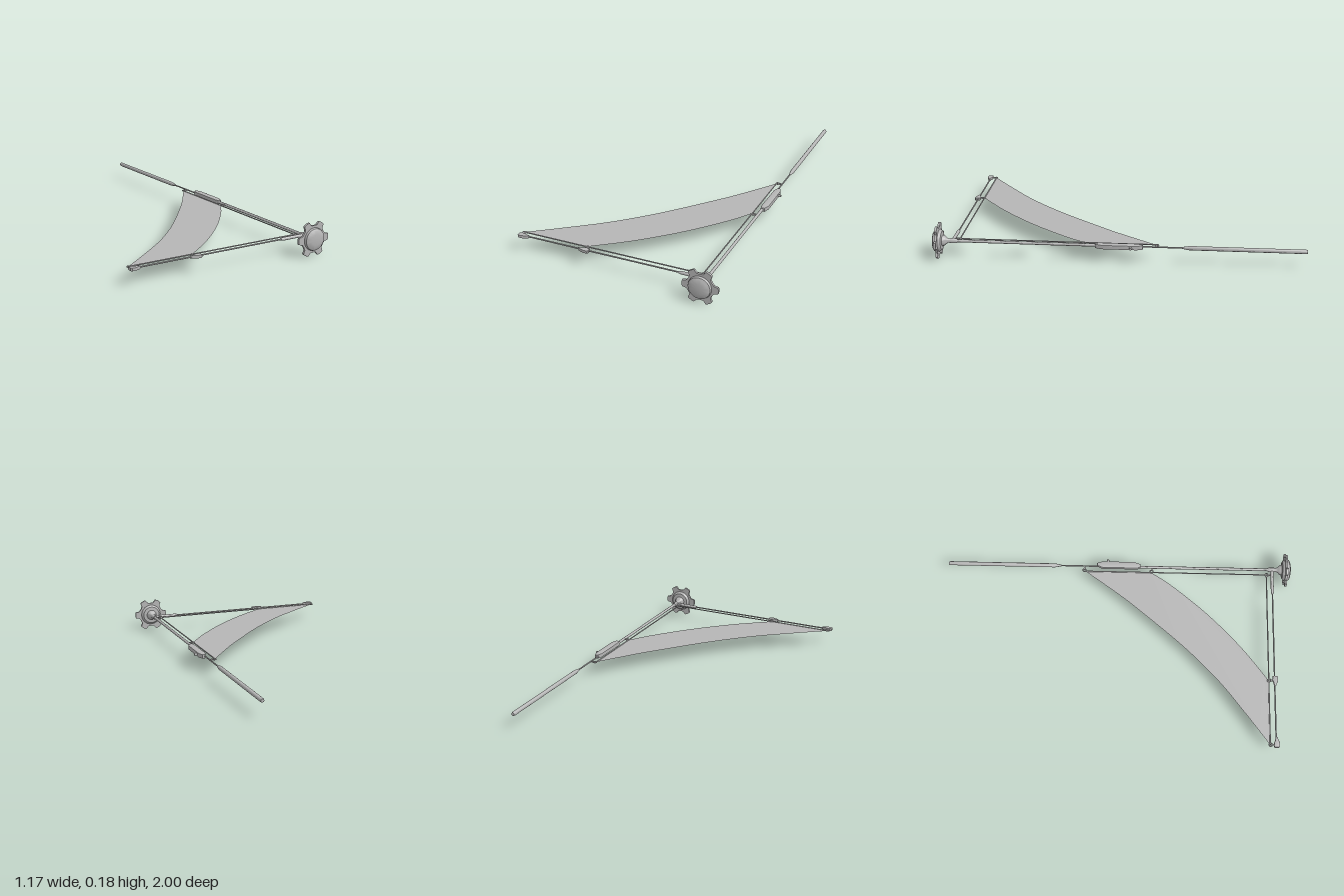
import * as THREE from 'three';
import { toCreasedNormals } from 'three/addons/utils/BufferGeometryUtils.js';

const AXIS_X = 0.487, AXIS_Y = 0.093;
const vecs = (pts) => pts.map(([a, b]) => new THREE.Vector2(a, b));

export function createModel() {
  const model = new THREE.Group();
  const metal = new THREE.MeshStandardMaterial({ color: 0xb6b6b6 });
  metal.name = 'grey metal';
  const cloth = new THREE.MeshStandardMaterial({ color: 0xb6b6b6, side: THREE.DoubleSide });
  cloth.name = 'grey cloth';

  const add = (name, geometry, x = 0, z = 0, material = metal) => {
    const mesh = new THREE.Mesh(geometry, material);
    mesh.name = name;
    mesh.position.set(x, AXIS_Y, z);
    model.add(mesh);
    return mesh;
  };
  // Turned part along z, from [radius, z] pairs of rising z
  const turned = (pts, sides = 16) =>
    toCreasedNormals(new THREE.LatheGeometry(vecs(pts), sides).rotateX(Math.PI / 2), 0.6);
  // Flat plate outlined in x, z and centred on the frame's plane
  const plate = (pts, height, bevel) => {
    const g = new THREE.ExtrudeGeometry(new THREE.Shape(vecs(pts)), {
      depth: height - 2 * bevel, bevelEnabled: bevel > 0,
      bevelSize: bevel, bevelThickness: bevel, bevelSegments: 2,
    });
    return toCreasedNormals(g.translate(0, 0, bevel - height / 2).rotateX(Math.PI / 2), 0.5);
  };

  // Shaft, thin neck and long grip
  add('shaft', turned([[0, 0], [0.008, 0], [0.008, 0.88], [0, 0.88]]), AXIS_X);
  add('shaftNeck', turned([[0, -0.38], [0.004, -0.38], [0.004, 0.01], [0, 0.01]]), AXIS_X);
  add('grip', turned([[0, -1], [0.009, -1], [0.0115, -0.992], [0.0115, -0.38],
    [0.005, -0.34], [0, -0.34]]), AXIS_X);

  // Crossbar and its socket
  add('crossbar', turned([[0, -0.57], [0.004, -0.57], [0.004, 0.35], [0, 0.35]], 10)
    .rotateY(Math.PI / 2), 0, 0.892);
  add('crossbarSocket', turned([[0, 0.335], [0.006, 0.335], [0.009, 0.348],
    [0.009, 0.485], [0, 0.485]]).rotateY(Math.PI / 2), 0, 0.892);

  // Cords that carry the cloth
  add('sideCord', turned([[0, -0.205], [0.0035, -0.205], [0.0035, 0.86], [0, 0.86]], 8), 0.454);
  add('lowerCord', turned([[0, -0.57], [0.0035, -0.57], [0.0035, 0.455], [0, 0.455]], 8)
    .rotateY(Math.PI / 2), 0, 0.859);

  // Clips on the crossbar
  for (const x of [-0.571, -0.196]) {
    add('crossbarClip', plate([[-0.012, -0.008], [0.01, -0.01], [0.022, -0.004], [0.045, 0],
      [0.04, 0.005], [0.012, 0.016], [-0.008, 0.016], [-0.012, 0.012]]
      .map(([a, b]) => [x < -0.4 ? a : 0.012 - a, b]), 0.017, 0.003), x, 0.892);
  }

  // Eyelets, each with a short link to its bar
  const eyelets = [[-0.57, 0.861, 0, 1], [-0.195, 0.861, 0, 1], [0.454, 0.861, 0, 1],
    [0.46, -0.205, 1, 0], [0.46, 0.188, 1, 0]];
  for (const [x, z, dx, dz] of eyelets) {
    add('eyelet', new THREE.TorusGeometry(0.009, 0.0035, 8, 16).rotateX(Math.PI / 2), x, z);
    add('eyeletLink', new THREE.BoxGeometry(dx ? 0.024 : 0.008, 0.007, dz ? 0.024 : 0.008),
      x + dx * 0.016, z + dz * 0.018);
  }

  // Sliding lock on the shaft with a small button
  add('slider', plate([[-0.008, -0.1], [0.004, -0.128], [0.014, -0.128], [0.024, -0.1],
    [0.024, 0.085], [0.012, 0.118], [-0.004, 0.118], [-0.008, 0.1]], 0.024, 0.004), AXIS_X);
  add('sliderButton', new THREE.CylinderGeometry(0.006, 0.008, 0.018, 12)
    .rotateZ(-Math.PI / 2), 0.521, -0.068);

  // Six-toothed wheel
  const gear = new THREE.Shape();
  for (let i = 0; i < 6; i++) {
    const a = i * Math.PI / 3;
    for (const [offset, r] of [[-0.29, 0.077], [-0.25, 0.084], [-0.19, 0.097], [-0.1, 0.098],
      [0, 0.098], [0.1, 0.098], [0.19, 0.097], [0.25, 0.084], [0.29, 0.077], [0.41, 0.074],
      [0.52, 0.073], [0.64, 0.074]]) {
      const x = r * Math.cos(a + offset), y = r * Math.sin(a + offset);
      if (i === 0 && offset === -0.29) gear.moveTo(x, y); else gear.lineTo(x, y);
    }
  }
  gear.closePath();
  const gearGeometry = new THREE.ExtrudeGeometry(gear, { depth: 0.012, bevelEnabled: false });
  add('toothedWheel', toCreasedNormals(gearGeometry, 0.5), AXIS_X, 0.964);

  // Domed front, stepped back and neck of the wheel
  add('wheelHub', turned([[0, 0.875], [0.009, 0.875], [0.012, 0.885], [0.012, 0.917],
    [0.018, 0.927], [0.026, 0.935], [0.03, 0.948], [0.05, 0.95], [0.058, 0.957],
    [0.062, 0.966], [0.062, 0.982], [0.059, 0.989], [0.052, 0.993], [0.048, 0.995],
    [0.03, 0.999], [0, 1]], 36), AXIS_X);
  add('shaftCollar', turned([[0, 0.868], [0.01, 0.868], [0.013, 0.874],
    [0.013, 0.905], [0, 0.905]]), AXIS_X);

  // Curved cloth stretched between the two cords
  const sheet = new THREE.Shape(vecs([[0.454, -0.2]]));
  sheet.moveTo(0.454, -0.2);
  sheet.splineThru(vecs([[0.31, 0], [0.215, 0.12], [0, 0.372], [-0.2, 0.57],
    [-0.39, 0.722], [-0.57, 0.857]]));
  sheet.lineTo(-0.195, 0.857);
  sheet.splineThru(vecs([[0, 0.705], [0.2, 0.512], [0.37, 0.31], [0.454, 0.185]]));
  sheet.closePath();
  // Face upward
  const flat = new THREE.ShapeGeometry(sheet, 10).rotateX(Math.PI / 2);
  const index = flat.index.array;
  for (let i = 0; i < index.length; i += 3) [index[i], index[i + 1]] = [index[i + 1], index[i]];
  flat.computeVertexNormals();
  add('cloth', flat, 0, 0, cloth);

  return model;
}
